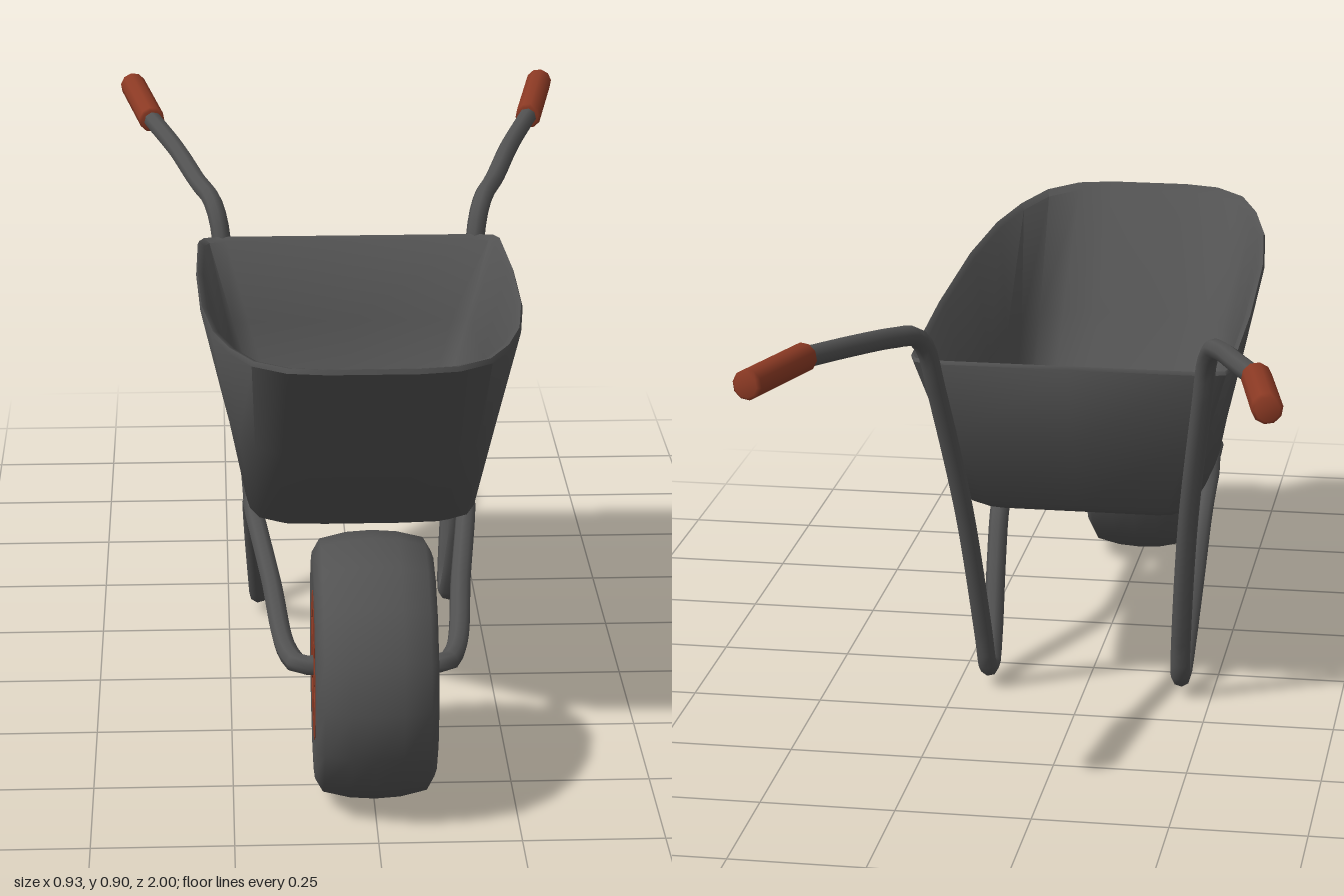
import * as THREE from 'three';
import { toCreasedNormals } from 'three/addons/utils/BufferGeometryUtils.js';

const grey = new THREE.MeshStandardMaterial({ color: 0x525252, side: THREE.DoubleSide });
grey.name = 'dark grey';
const red = new THREE.MeshStandardMaterial({ color: 0x8c3a24 });
red.name = 'rust red';

function part(name, geometry, material, parent) {
  const mesh = new THREE.Mesh(geometry, material);
  mesh.name = name;
  parent.add(mesh);
  return mesh;
}

// Half outlines of the tray as [x, z], from the middle of the back to the middle of the front
const RIM = [[0, -0.32], [0.26, -0.32], [0.295, -0.31], [0.305, -0.28], [0.308, 0], [0.3, 0.3],
  [0.28, 0.5], [0.25, 0.63], [0.21, 0.73], [0.15, 0.785], [0.08, 0.8], [0, 0.8]];
const FLOOR = [[0, -0.21], [0.17, -0.21], [0.2, -0.2], [0.21, -0.17], [0.217, 0], [0.217, 0.15],
  [0.215, 0.25], [0.21, 0.3], [0.195, 0.34], [0.16, 0.36], [0.08, 0.365], [0, 0.365]];
const fullLoop = (half) => [...half, ...half.slice(1, -1).reverse().map(([x, z]) => [-x, z])];

// Tray: rings run from the outer floor up the wall, over the lip and down inside
function trayGeometry() {
  const rim = fullLoop(RIM), floor = fullLoop(FLOOR), n = rim.length;
  // [height fraction, scale, lift]
  const rings = [[0, 0, 0], [0, 0.88, 0], [0.06, 0.99, 0], [0.5, 1, 0], [0.98, 1, 0], [1, 0.985, 0],
    [0.98, 0.955, 0], [0.5, 0.945, 0.006], [0.1, 0.92, 0.012], [0, 0.8, 0.015], [0, 0, 0.015]];
  const positions = [], index = [];
  rings.forEach(([t, s, lift]) => {
    for (let j = 0; j < n; j++) {
      const x = THREE.MathUtils.lerp(floor[j][0], rim[j][0], t) * s;
      const z = 0.08 + (THREE.MathUtils.lerp(floor[j][1], rim[j][1], t) - 0.08) * s;
      const floorY = 0.377 - 0.089 * (t === 0 ? z : floor[j][1]);
      const rimY = 0.746 + 0.0676 * rim[j][1];
      positions.push(x, THREE.MathUtils.lerp(floorY, rimY, t) + lift, z);
    }
  });
  for (let i = 0; i < rings.length - 1; i++) {
    for (let j = 0; j < n; j++) {
      const a = i * n + j, b = i * n + (j + 1) % n, c = a + n, d = b + n;
      if (i < rings.length - 2) index.push(b, c, d);
      if (i > 0) index.push(a, c, b);
      if (i === rings.length - 2) continue;
    }
  }
  const geometry = new THREE.BufferGeometry();
  geometry.setAttribute('position', new THREE.Float32BufferAttribute(positions, 3));
  geometry.setIndex(index);
  return toCreasedNormals(geometry, 0.9);
}

// Spoked wheel face: disc with wedge windows
function hubGeometry() {
  const spokes = 7, shape = new THREE.Shape();
  shape.absarc(0, 0, 0.133, 0, Math.PI * 2);
  for (let i = 0; i < spokes; i++) {
    const mid = (i + 0.5) * Math.PI * 2 / spokes;
    const corner = (r, half) => new THREE.Vector2(r * Math.cos(mid + half), r * Math.sin(mid + half));
    shape.holes.push(new THREE.Path([corner(0.045, -0.2), corner(0.1, -0.27), corner(0.1, 0.27), corner(0.045, 0.2)]));
  }
  return new THREE.ExtrudeGeometry(shape, { depth: 0.006, bevelEnabled: false, curveSegments: 8 });
}

function createWheel() {
  const wheel = new THREE.Group();
  wheel.name = 'wheel';
  wheel.position.set(0, 0.242, 0.763);
  // Tyre profile as [radius, offset]
  const side = [[0, 0.1], [0.14, 0.1], [0.165, 0.107], [0.2, 0.106], [0.224, 0.092], [0.235, 0.045]];
  const profile = [...side.map(([r, w]) => [r, -w]), [0.238, 0], ...side.slice().reverse()];
  const tyre = new THREE.LatheGeometry(profile.map(([r, w]) => new THREE.Vector2(r, w)), 16);
  tyre.rotateZ(-Math.PI / 2);
  part('tyre', tyre, grey, wheel);
  const hub = hubGeometry();
  for (const s of [1, -1]) {
    const face = part(s > 0 ? 'leftHub' : 'rightHub', hub, red, wheel);
    face.rotation.y = s * Math.PI / 2;
    face.position.x = s * 0.1;
  }
  return wheel;
}

// One bent pipe per side: axle, tray support, leg and handle
const PIPE = [[0.09, 0.242, 0.763], [0.13, 0.242, 0.76], [0.15, 0.25, 0.72], [0.175, 0.295, 0.48],
  [0.2, 0.332, 0.24], [0.204, 0.332, 0.17], [0.204, 0.3, 0.1], [0.2, 0.21, 0.03], [0.193, 0.09, -0.05],
  [0.19, 0.04, -0.1], [0.19, 0.05, -0.13], [0.194, 0.13, -0.155], [0.215, 0.4, -0.228],
  [0.25, 0.67, -0.312], [0.262, 0.755, -0.343], [0.275, 0.787, -0.375], [0.3, 0.803, -0.44],
  [0.345, 0.832, -0.6], [0.4, 0.857, -0.77]];

function createSide(s) {
  const group = new THREE.Group();
  group.name = s > 0 ? 'leftFrame' : 'rightFrame';
  const at = ([x, y, z]) => new THREE.Vector3(s * x, y, z);
  const path = new THREE.CatmullRomCurve3(PIPE.map(at), false, 'centripetal');
  part('framePipe', new THREE.TubeGeometry(path, 90, 0.019, 8), grey, group);

  // Grip with softened ends
  const start = at([0.396, 0.855, -0.752]), end = at([0.441, 0.875, -0.997]);
  const length = start.distanceTo(end);
  const profile = [[0, 0], [0.022, 0], [0.027, 0.006], [0.027, length - 0.008], [0.021, length], [0, length]];
  const geometry = new THREE.LatheGeometry(profile.map(([r, y]) => new THREE.Vector2(r, y)), 10);
  const grip = part('grip', geometry, red, group);
  grip.position.copy(start);
  grip.quaternion.setFromUnitVectors(new THREE.Vector3(0, 1, 0), end.sub(start).normalize());
  return group;
}

export function createModel() {
  const model = new THREE.Group();
  model.name = 'wheelbarrow';
  part('tray', trayGeometry(), grey, model);
  model.add(createWheel(), createSide(1), createSide(-1));
  return model;
}
